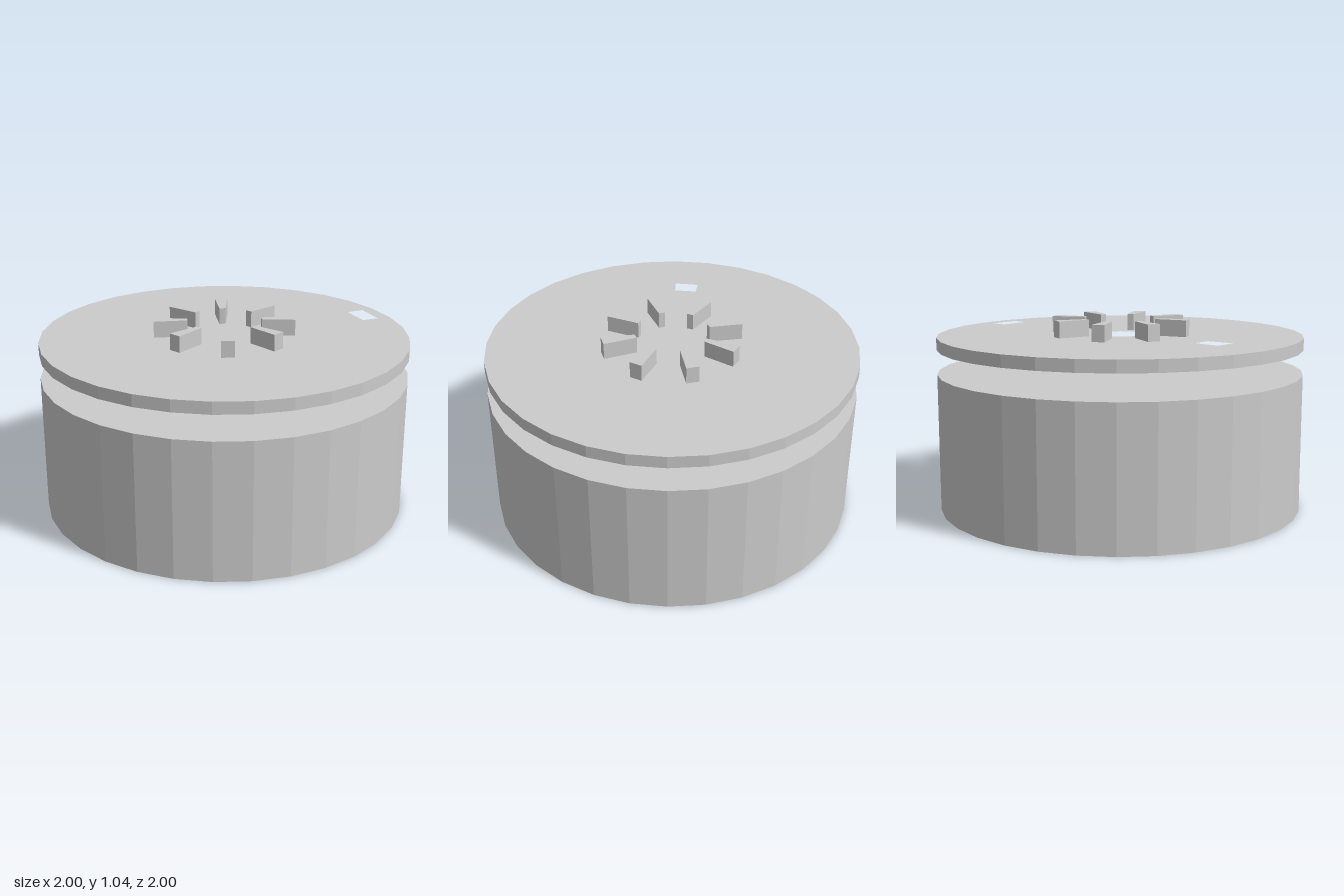
import * as THREE from 'three';

const SIDES = 32;
const material = new THREE.MeshStandardMaterial({ color: 0xcccccc, flatShading: true });

function addPart(parent, name, geometry) {
  const mesh = new THREE.Mesh(geometry, material);
  mesh.name = name;
  parent.add(mesh);
  return mesh;
}

// Plan outlines are given as [x, z] corners and extruded upward from y = bottom
const outline = (corners) => corners.map(([x, z]) => new THREE.Vector2(x, -z));

function circle(radius) {
  return Array.from({ length: SIDES }, (_, i) => {
    const a = (i / SIDES) * Math.PI * 2;
    return [radius * Math.cos(a), radius * Math.sin(a)];
  });
}

function slab(corners, bottom, height, holes = []) {
  const shape = new THREE.Shape(outline(corners));
  shape.holes = holes.map((h) => new THREE.Path(outline(h)));
  const geometry = new THREE.ExtrudeGeometry(shape, { depth: height, bevelEnabled: false });
  return geometry.rotateX(-Math.PI / 2).translate(0, bottom, 0);
}

export function createModel() {
  const model = new THREE.Group();
  model.name = 'drumWithLid';

  // Drum: central post, deep ring groove and shallow counterbore on the underside
  const profile = [
    [0, 0], [0.195, 0], [0.195, 0.685], [0.38, 0.685], [0.38, 0.065],
    [0.555, 0.065], [0.555, 0], [1, 0], [1, 0.75], [0, 0.75],
  ].map(([r, y]) => new THREE.Vector2(r, y));
  addPart(model, 'drum', new THREE.LatheGeometry(profile, SIDES));

  // Floating lid with a centre hole and two slots
  const lid = new THREE.Group();
  lid.name = 'lid';
  model.add(lid);
  const outerSlot = [[0.36, -0.86], [0.515, -0.77], [0.465, -0.69], [0.315, -0.77]];
  const innerSlot = [[-0.31, 0.46], [-0.215, 0.515], [-0.275, 0.655], [-0.39, 0.59]];
  addPart(lid, 'lidPlate', slab(circle(1), 0.885, 0.065, [circle(0.125), outerSlot, innerSlot]));

  // Eight tapered fins around the centre hole
  const fin = slab([[0, -0.2], [0.035, -0.2], [0.07, -0.377], [0, -0.384]], 0.95, 0.09);
  for (let i = 0; i < 8; i++) {
    addPart(lid, `fin${i + 1}`, fin).rotation.y = (-i * Math.PI) / 4;
  }

  return model;
}
